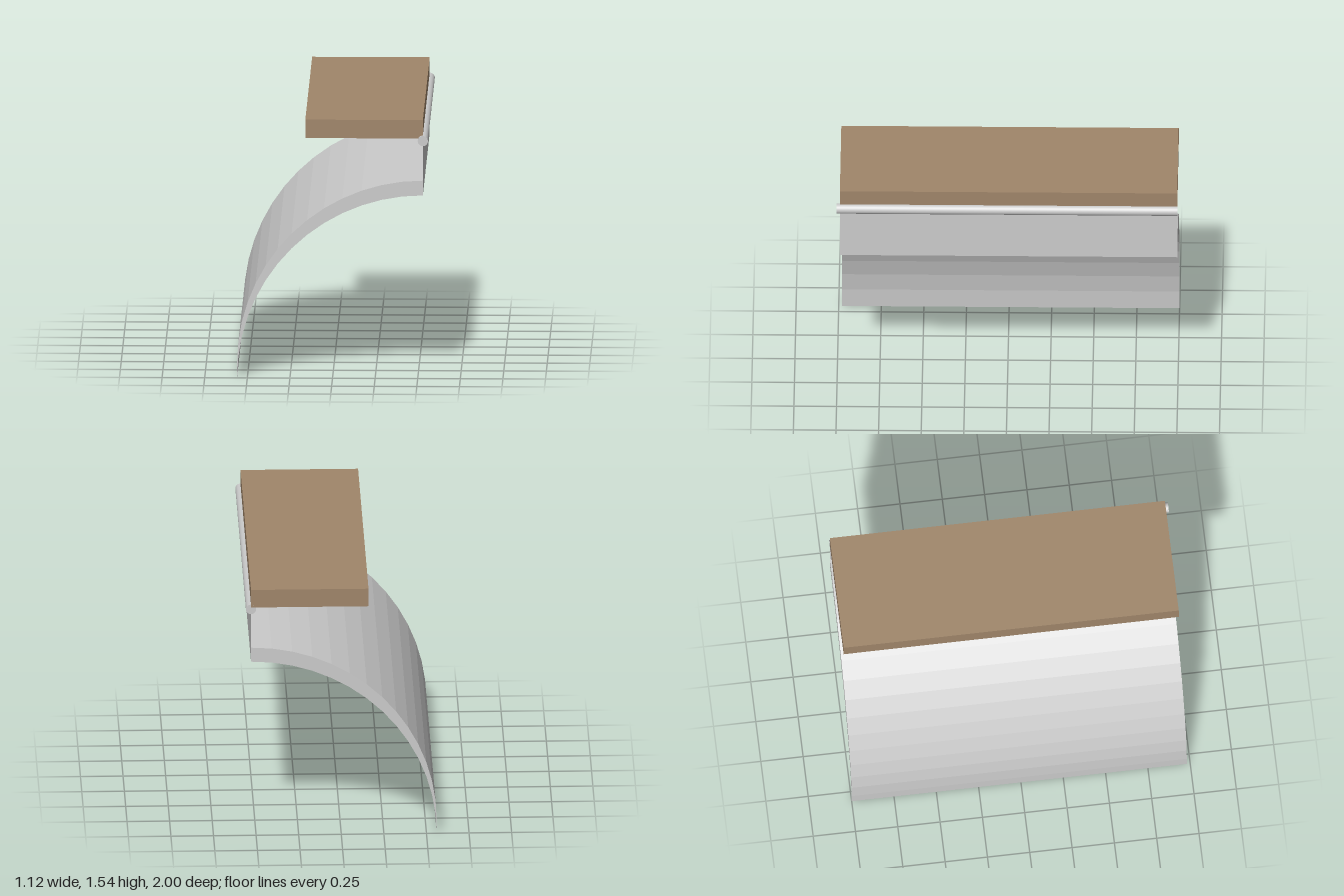
import * as THREE from 'three';

export function createModel() {
  const group = new THREE.Group();
  const grey = new THREE.MeshStandardMaterial({ color: 0xcccccc });
  const greyFlat = new THREE.MeshStandardMaterial({ color: 0xcccccc, flatShading: true, side: THREE.DoubleSide });
  const wood = new THREE.MeshStandardMaterial({ color: 0xa0866a });

  const edgeX = 0.53, back = -1, length = 1.98, midZ = back + length / 2;
  const radius = 1.09, thickness = 0.088, segments = 14;
  const treadBottom = 1.43, treadTop = 1.54, treadWidth = 0.69;

  const add = (name, geometry, material, x = 0, y = 0, z = 0) => {
    const mesh = new THREE.Mesh(geometry, material);
    mesh.name = name;
    mesh.position.set(x, y, z);
    group.add(mesh);
    return mesh;
  };

  // Quarter vault: one arc and its copy raised by the thickness
  const arc = (lift) => Array.from({ length: segments + 1 }, (_, i) => {
    const a = (i / segments) * Math.PI / 2;
    return new THREE.Vector2(edgeX - radius * Math.cos(a), radius * Math.sin(a) + lift);
  });
  const profile = new THREE.Shape([...arc(0), ...arc(thickness).reverse()]);
  add('vault', new THREE.ExtrudeGeometry(profile, { depth: length, bevelEnabled: false }), greyFlat, 0, 0, back);

  // Thin riser from the vault's crown up to the tread
  const riserBottom = radius + thickness;
  const riser = add('riser', new THREE.PlaneGeometry(length, treadBottom - riserBottom), greyFlat,
    edgeX, (treadBottom + riserBottom) / 2, midZ);
  riser.rotation.y = Math.PI / 2;

  // Wooden tread
  add('tread', new THREE.BoxGeometry(treadWidth, treadTop - treadBottom, length), wood,
    edgeX - treadWidth / 2, (treadTop + treadBottom) / 2, midZ);

  // Round nosing rod along the tread's lower edge
  const rod = add('nosingRod', new THREE.CylinderGeometry(0.03, 0.03, 2, 32), grey, edgeX, 1.418, 0);
  rod.rotation.x = Math.PI / 2;

  return group;
}
